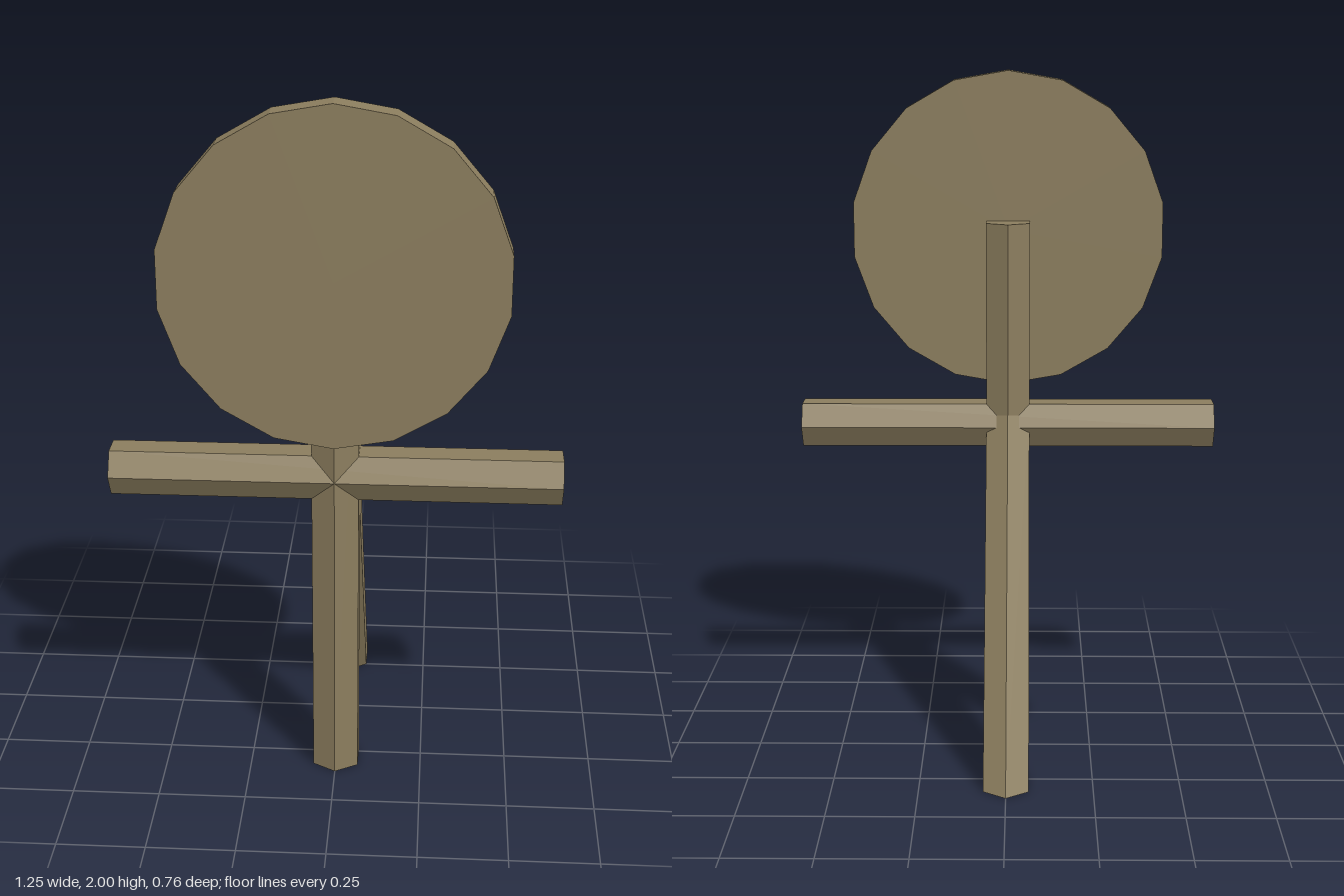
import * as THREE from 'three';

const R = 0.0755;      // timber radius (hexagonal section)
const POST_Z = 0.283;  // depth of the upright frame
const JOINT_Y = 0.939; // height where the timbers meet

export function createModel() {
  const group = new THREE.Group();
  const material = new THREE.MeshStandardMaterial({ color: 0x8b7d5e, flatShading: true });

  const add = (name, geometry, x, y, z) => {
    const mesh = new THREE.Mesh(geometry, material);
    mesh.name = name;
    mesh.position.set(x, y, z);
    group.add(mesh);
    return mesh;
  };
  const timber = (length) => new THREE.CylinderGeometry(R, R, length, 6);

  // Upright post, with a ridge facing front and back
  add('post', timber(1.555), 0, 1.555 / 2, POST_Z);

  // Horizontal crossbar
  add('crossbar', timber(1.254).rotateZ(Math.PI / 2), 0, JOINT_Y, POST_Z);

  // Round board: 18-sided disc with a corner at the top
  const disc = new THREE.CylinderGeometry(0.4725, 0.4725, 0.073, 18).rotateX(Math.PI / 2);
  add('roundBoard', disc, 0, 1.5275, 0.3465);

  // Rear brace: leans forward into the joint, its foot cut level with the ground
  const topY = 0.957;
  const footZ = -0.293;
  const tilt = Math.atan2(POST_Z - footZ, topY);
  const length = topY / Math.cos(tilt);
  const brace = timber(length).rotateX(tilt).translate(0, topY / 2, (POST_Z + footZ) / 2);
  const p = brace.attributes.position;
  for (let i = 0; i < p.count; i++) {
    if (p.getY(i) < topY / 2) {
      p.setZ(i, p.getZ(i) - p.getY(i) * Math.tan(tilt));
      p.setY(i, 0);
    }
  }
  brace.computeVertexNormals();
  add('rearBrace', brace, 0, 0, 0);

  return group;
}
